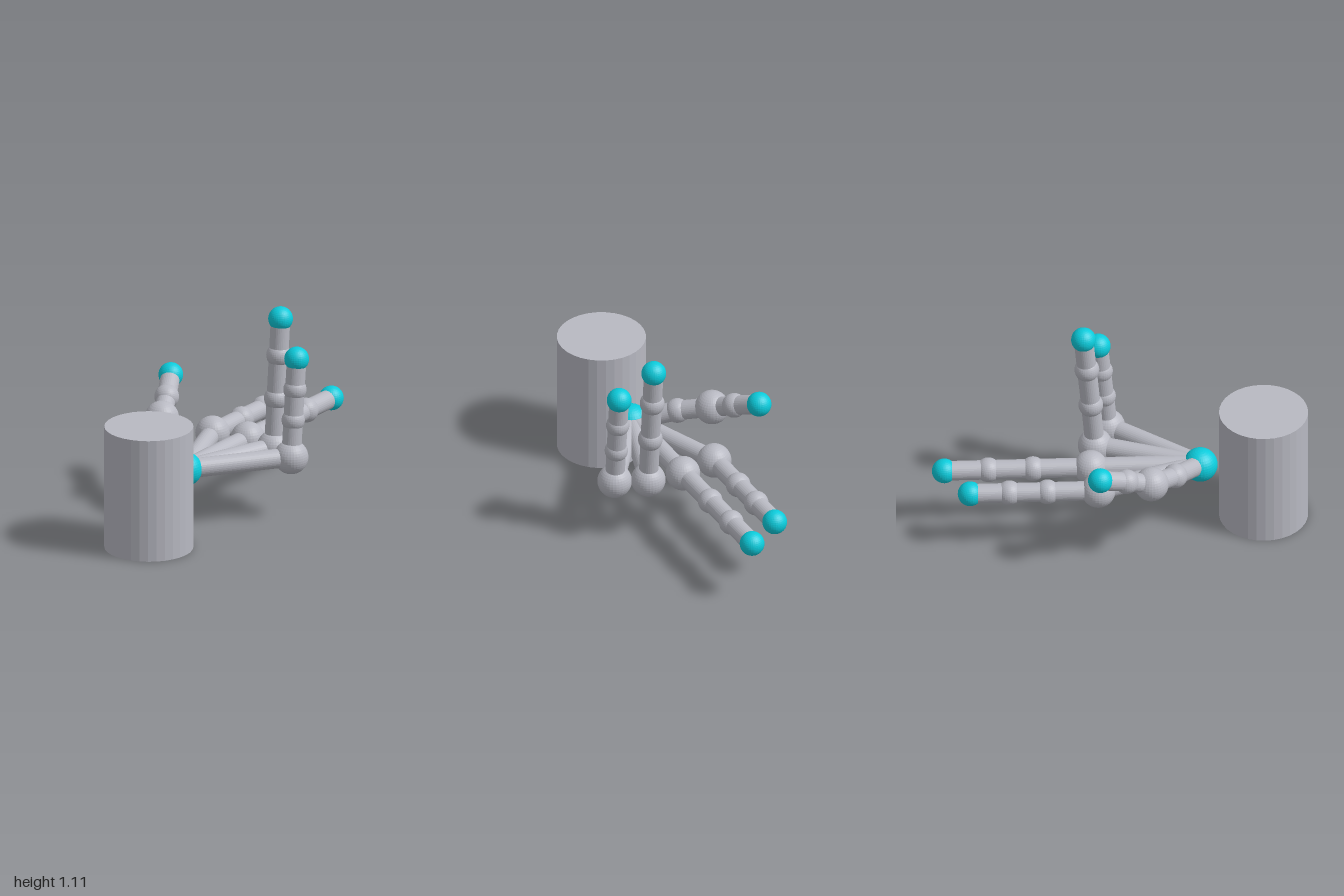
import * as THREE from 'three';

const V = (x, y, z) => new THREE.Vector3(x, y, z);
const BONE_R = 0.052, JOINT_R = 0.066, KNUCKLE_R = 0.092;

export function createModel() {
  const grey = new THREE.MeshStandardMaterial({ color: 0xb8b9c2, flatShading: true });
  grey.name = 'light grey';
  const teal = new THREE.MeshStandardMaterial({ color: 0x0ccbdb, flatShading: true });
  teal.name = 'teal';

  const model = new THREE.Group();
  model.name = 'handSkeleton';

  function ball(parent, name, p, r, material) {
    const m = new THREE.Mesh(new THREE.SphereGeometry(r, 32, 20), material);
    m.name = name;
    m.position.copy(p);
    parent.add(m);
  }

  // straight rod between two joints
  function bone(parent, a, b) {
    const d = b.clone().sub(a);
    const m = new THREE.Mesh(new THREE.CylinderGeometry(BONE_R, BONE_R, d.length(), 32), grey);
    m.name = 'bone';
    m.position.copy(a).addScaledVector(d, 0.5);
    m.quaternion.setFromUnitVectors(V(0, 1, 0), d.normalize());
    parent.add(m);
  }

  // forearm and wrist
  const forearm = new THREE.Mesh(new THREE.CylinderGeometry(0.237, 0.237, 0.68, 32), grey);
  forearm.name = 'forearm';
  forearm.position.set(0.045, 0.34, 0.763);
  model.add(forearm);

  const wrist = V(0.045, 0.34, 0.427);
  ball(model, 'wrist', wrist, KNUCKLE_R, teal);

  // each finger: joint centres from the wrist outwards, with the index of its big knuckle
  const fingers = [
    { name: 'thumb', knuckle: 1, joints: [V(-0.157, 0.423, 0.285), V(-0.295, 0.478, 0.153), V(-0.357, 0.546, 0.019), V(-0.43, 0.613, -0.124)] },
    { name: 'indexFinger', knuckle: 0, joints: [V(-0.16, 0.34, -0.124), V(-0.16, 0.34, -0.394), V(-0.16, 0.34, -0.597), V(-0.16, 0.34, -0.805)] },
    { name: 'middleFinger', knuckle: 0, joints: [V(0.045, 0.34, -0.156), V(0.045, 0.34, -0.463), V(0.045, 0.34, -0.7), V(0.045, 0.34, -0.934)] },
    { name: 'ringFinger', knuckle: 0, joints: [V(0.237, 0.34, -0.124), V(0.237, 0.61, -0.147), V(0.237, 0.847, -0.168), V(0.237, 1.047, -0.186)] },
    { name: 'littleFinger', knuckle: 0, joints: [V(0.4, 0.34, -0.05), V(0.4, 0.543, -0.069), V(0.4, 0.711, -0.085), V(0.4, 0.878, -0.101)], r: 0.062 },
  ];

  for (const { name, knuckle, joints, r = JOINT_R } of fingers) {
    const finger = new THREE.Group();
    finger.name = name;
    joints.forEach((p, i) => {
      bone(finger, i ? joints[i - 1] : wrist, p);
      if (i === joints.length - 1) ball(finger, 'fingertip', p, JOINT_R, teal);
      else if (i === knuckle) ball(finger, 'knuckle', p, KNUCKLE_R, grey);
      else ball(finger, 'joint', p, r, grey);
    });
    model.add(finger);
  }
  return model;
}
